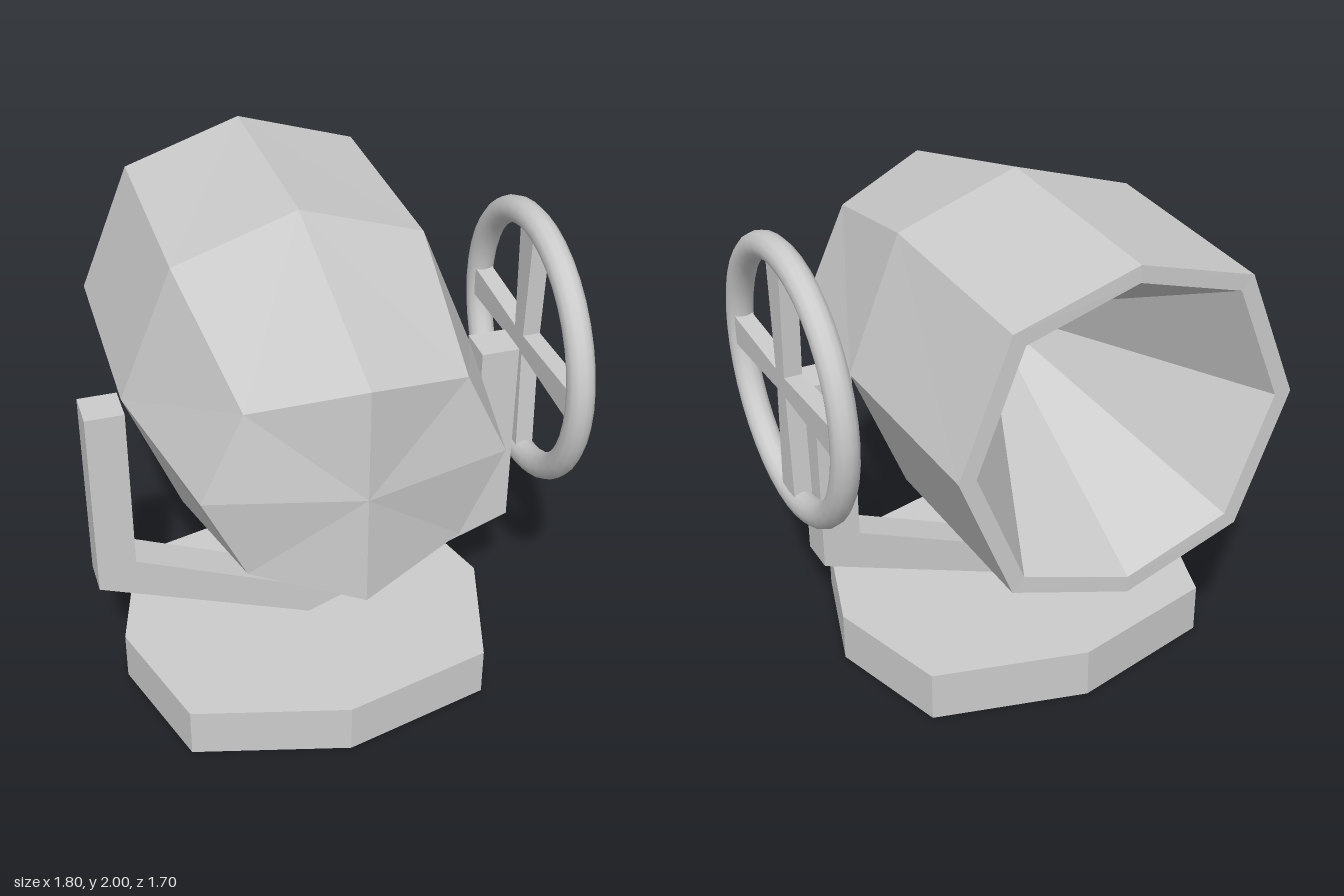
import * as THREE from 'three';

const CX = -0.06; // axis of the lamp, yoke and base

function material(side = THREE.FrontSide, flatShading = true) {
  return new THREE.MeshStandardMaterial({ color: 0xcccccc, flatShading, side });
}

// Octagon symmetric in both axes: points on the x axis, the diagonals and the y axis
function octagon(side, diagX, diagY, top, z, topZ = z) {
  return [
    [side, 0, z], [diagX, diagY, z], [0, top, topZ], [-diagX, diagY, z],
    [-side, 0, z], [-diagX, -diagY, z], [0, -top, topZ], [diagX, -diagY, z],
  ];
}

const tip = (z) => Array.from({ length: 8 }, () => [0, 0, z]);

// Faceted skin through a list of rings, ordered from +z to -z
function loft(rings) {
  const pos = [];
  const same = (p, q) => p.every((v, i) => v === q[i]);
  const tri = (a, b, c) => {
    if (!same(a, b) && !same(b, c) && !same(a, c)) pos.push(...a, ...b, ...c);
  };
  for (let r = 0; r + 1 < rings.length; r++) {
    const n = rings[r].length;
    for (let j = 0; j < n; j++) {
      const k = (j + 1) % n;
      const a = rings[r][j], b = rings[r + 1][j], c = rings[r + 1][k], d = rings[r][k];
      // split every facet the same way on both halves of the shape
      if (j % 2) { tri(a, b, c); tri(a, c, d); }
      else { tri(a, b, d); tri(b, c, d); }
    }
  }
  const geo = new THREE.BufferGeometry();
  geo.setAttribute('position', new THREE.Float32BufferAttribute(pos, 3));
  geo.computeVertexNormals();
  return geo;
}

function extrude(points, depth) {
  const shape = new THREE.Shape(points.map(([x, y]) => new THREE.Vector2(x, y)));
  const geo = new THREE.ExtrudeGeometry(shape, { depth, bevelEnabled: false });
  return geo.translate(0, 0, -depth / 2);
}

function add(parent, name, geo, mat, x, y, z) {
  const mesh = new THREE.Mesh(geo, mat);
  mesh.name = name;
  mesh.position.set(x, y, z);
  parent.add(mesh);
  return mesh;
}

export function createModel() {
  const model = new THREE.Group();
  model.name = 'searchlight';

  // Base: shallow octagonal tray, open underneath
  const base = loft([tip(0.205), octagon(0.75, 0.6, 0.5, 0.655, 0.205), octagon(0.75, 0.6, 0.5, 0.655, 0)]);
  base.rotateX(-Math.PI / 2);
  add(model, 'base', base, material(THREE.DoubleSide), CX, 0, 0.055);

  // Yoke: one bent bar with two upright arms
  const half = [[0, 0.215], [0.843, 0.535], [0.843, 1.33], [0.693, 1.33], [0.693, 0.64], [0, 0.35]];
  const mirrored = half.slice(1, -1).reverse().map(([x, y]) => [-x, y]);
  add(model, 'yoke', extrude([...half, ...mirrored], 0.15), material(), CX, 0, 0.05);

  // Lamp housing: ridged front, widest in the middle, hollow funnel behind the rim
  const housing = loft([
    tip(0.85),
    octagon(0.553, 0.395, 0.34, 0.443, 0.71, 0.85),
    octagon(0.685, 0.475, 0.52, 0.68, 0.01),
    octagon(0.667, 0.465, 0.508, 0.655, -0.838, -0.852),
    octagon(0.6, 0.418, 0.457, 0.59, -0.838, -0.852),
    tip(0.25),
  ]);
  add(model, 'lampHousing', housing, material(THREE.DoubleSide), CX, 1.32, 0);

  // Hand wheel: round rim and four spokes that widen outwards
  const wheel = new THREE.Group();
  wheel.name = 'handWheel';
  wheel.position.set(0.842, 1.328, 0.055);
  wheel.rotation.y = Math.PI / 2;
  model.add(wheel);
  add(wheel, 'wheelRim', new THREE.TorusGeometry(0.503, 0.053, 12, 40), material(THREE.FrontSide, false), 0, 0, 0);

  const cross = [];
  for (let i = 0; i < 4; i++) {
    const c = Math.round(Math.cos(i * Math.PI / 2)), s = Math.round(Math.sin(i * Math.PI / 2));
    for (const [x, y] of [[0.47, -0.06], [0.47, 0.06], [0.04, 0.04]]) {
      cross.push([x * c - y * s, x * s + y * c]);
    }
  }
  add(wheel, 'wheelSpokes', extrude(cross, 0.07), material(), 0, 0, 0);

  return model;
}
